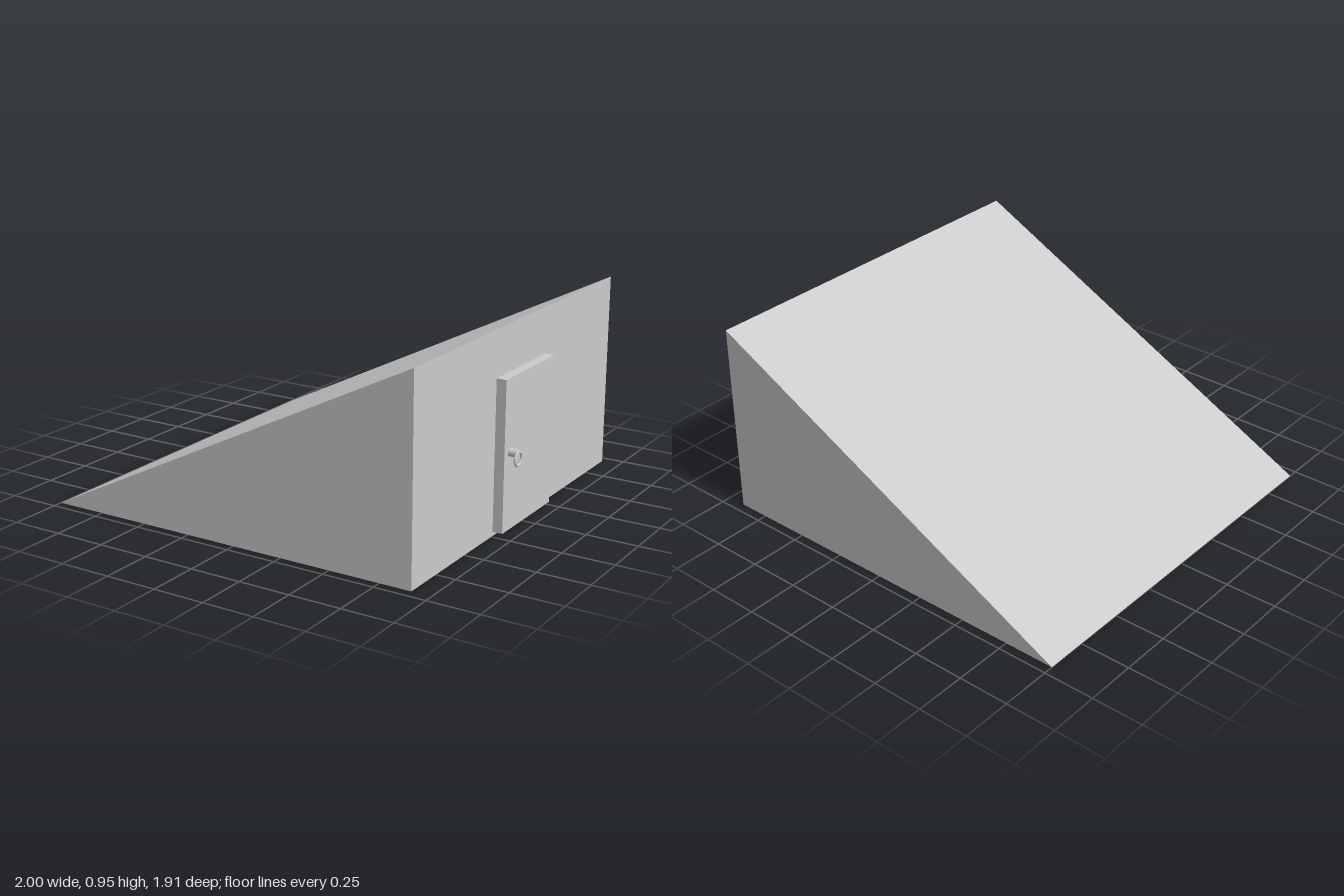
import * as THREE from 'three';

export function createModel() {
  const group = new THREE.Group();
  const flat = new THREE.MeshStandardMaterial({ color: 0xcccccc, flatShading: true });
  const smooth = new THREE.MeshStandardMaterial({ color: 0xcccccc });

  const add = (name, geometry, material, x, y, z) => {
    const mesh = new THREE.Mesh(geometry, material);
    mesh.name = name;
    mesh.position.set(x, y, z);
    group.add(mesh);
    return mesh;
  };

  // Wedge body: a right triangle extruded along z
  const wallX = 0.905, half = 0.953;
  const profile = new THREE.Shape([
    new THREE.Vector2(-1, 0),
    new THREE.Vector2(wallX, 0),
    new THREE.Vector2(wallX, half),
  ]);
  const wedge = new THREE.ExtrudeGeometry(profile, { depth: 2 * half, bevelEnabled: false });
  add('wedgeBody', wedge, flat, 0, 0, -half);

  // Door slab standing proud of the tall wall
  const doorT = 0.048;
  add('door', new THREE.BoxGeometry(doorT, 0.712, 0.477), flat, wallX + doorT / 2, 0.376, 0);

  // Knocker: a short round stem with a ring hanging at its end
  const doorX = wallX + doorT, stemL = 0.042, knobZ = 0.186;
  const stem = new THREE.CylinderGeometry(0.019, 0.019, stemL, 24).rotateZ(-Math.PI / 2);
  add('knockerStem', stem, smooth, doorX + stemL / 2, 0.389, knobZ);

  const ring = new THREE.TorusGeometry(0.031, 0.006, 12, 36).rotateY(Math.PI / 2);
  add('knockerRing', ring, smooth, 0.994, 0.365, knobZ);

  return group;
}
